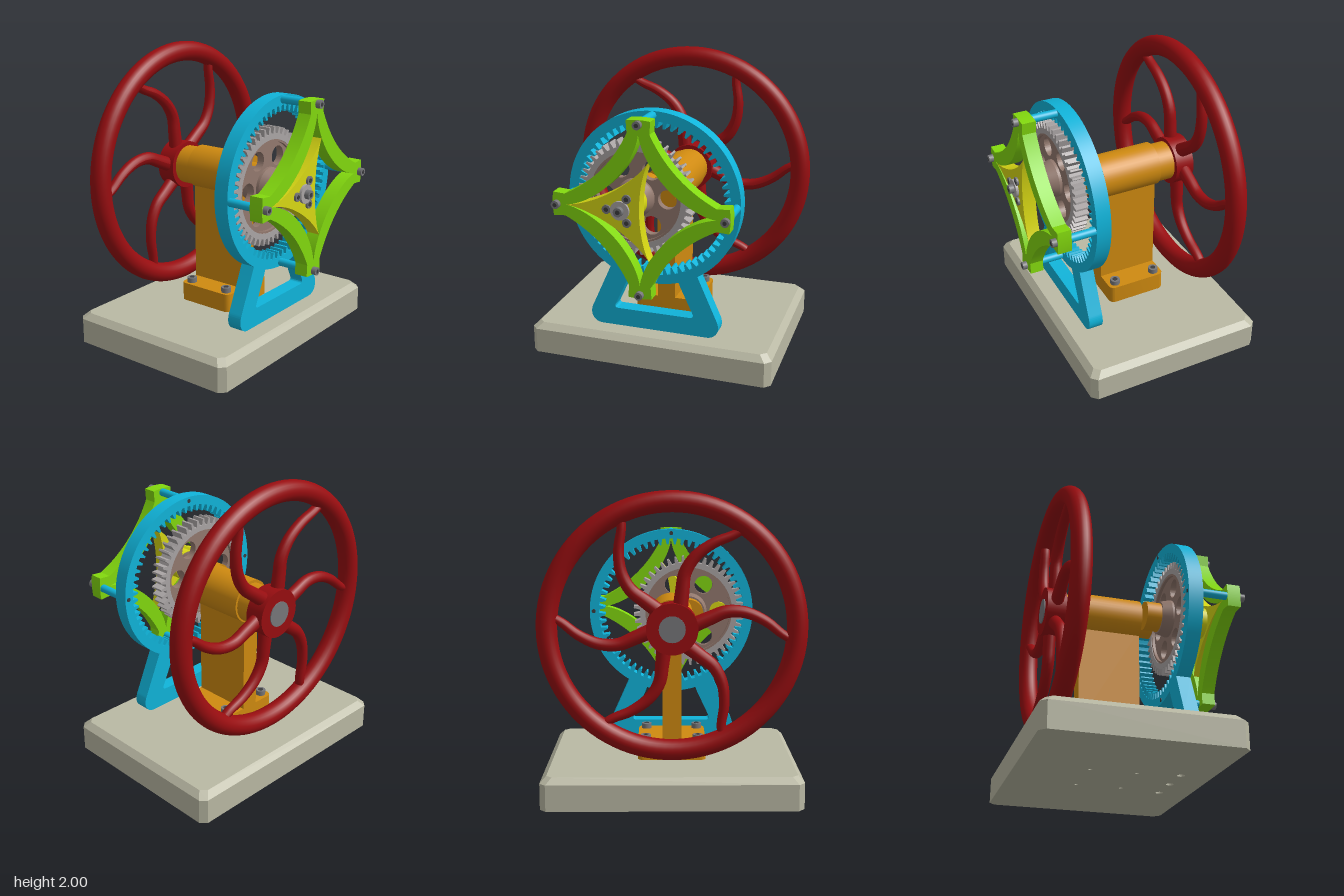
import * as THREE from 'three';
import { toCreasedNormals } from 'three/addons/utils/BufferGeometryUtils.js';

const mat = (name, color) => new THREE.MeshStandardMaterial({ name, color });
const CY = 1.14;      // height of the shaft axis
const ECC = 0.125;    // crank offset
const TAU = Math.PI * 2;

export function createModel() {
  const M = {
    stone: mat('base beige', 0xbab9a4), orange: mat('pedestal orange', 0xcf8a10),
    cyan: mat('ring cyan', 0x10b4da), green: mat('frame green', 0x82d80e),
    yellow: mat('rotor yellow', 0xd8d814), red: mat('flywheel red', 0x980d10),
    gray: mat('tooth gray', 0xaaa5a5), brown: mat('gear brown', 0x93796e),
    steel: mat('bolt steel', 0x77777a), dark: mat('socket dark', 0x3c3c3e),
  };
  const model = new THREE.Group();
  model.name = 'hypocycloidCrankModel';

  const add = (name, geo, material, parent = model) => {
    const mesh = new THREE.Mesh(geo, material);
    mesh.name = name;
    parent.add(mesh);
    return mesh;
  };
  // Cylinder along z between two depths; r1 is the radius at the front end
  const rod = (name, x, y, z0, z1, r, material, r1 = r, parent = model) => {
    const geo = new THREE.CylinderGeometry(r1, r, z1 - z0, 40).rotateX(Math.PI / 2);
    const m = add(name, geo, material, parent);
    m.position.set(x, y, (z0 + z1) / 2);
    return m;
  };
  const extrude = (shape, z0, z1, curveSegments = 32) => toCreasedNormals(
    new THREE.ExtrudeGeometry(shape, { depth: z1 - z0, bevelEnabled: false, curveSegments })
      .translate(0, 0, z0), 0.45);
  const circle = (x, y, r) => new THREE.Path().absarc(x, y, r, 0, TAU, true);
  const polar = (r, a, x = 0, y = 0) => new THREE.Vector2(x + r * Math.cos(a), y + r * Math.sin(a));
  // Gear outline: trapezoid teeth between radii at the foot and at the tip
  const teeth = (n, foot, tip, phase, cx, cy) => {
    const pts = [], step = TAU / n;
    for (let i = 0; i < n; i++) {
      const a = phase + i * step;
      for (const [f, r] of [[-0.29, foot], [-0.12, tip], [0.12, tip], [0.29, foot]]) {
        pts.push(polar(r, a + f * step, cx, cy));
      }
    }
    return pts;
  };
  // Socket-head bolt facing +z
  const bolt = (x, y, z0, z1, r, parent = model) => {
    rod('boltHead', x, y, z0, z1, r, M.steel, r, parent);
    rod('boltSocket', x, y, z1, z1 + 0.002, r * 0.5, M.dark, r * 0.5, parent);
  };

  // Base slab with chamfered edges and bolt holes underneath
  const bx = 0.84, bz = 0.63, c = 0.04;
  const slab = () => new THREE.Shape([[-bx + c, -bz], [bx - c, -bz], [bx, -bz + c], [bx, bz - c],
    [bx - c, bz], [-bx + c, bz], [-bx, bz - c], [-bx, -bz + c]].map(p => new THREE.Vector2(...p)));
  const baseShape = slab();
  for (const x of [-0.21, 0, 0.21]) baseShape.holes.push(circle(x, -0.42, 0.025));
  for (const x of [-0.175, 0.175]) for (const z of [-0.245, 0.06]) {
    baseShape.holes.push(circle(x, -(z + 0.08), 0.013));
  }
  const top = new THREE.ExtrudeGeometry(slab(), { depth: 0.04, bevelEnabled: false });
  const tp = top.attributes.position;
  for (let i = 0; i < tp.count; i++) {
    if (tp.getZ(i) > 0.02) tp.setXY(i, tp.getX(i) * (bx - c) / bx, tp.getY(i) * (bz - c) / bz);
  }
  top.computeVertexNormals();
  add('base', extrude(baseShape, 0, 0.172, 16).rotateX(-Math.PI / 2).translate(0, 0, -0.08), M.stone);
  add('baseTop', top.rotateX(-Math.PI / 2).translate(0, 0.172, -0.08), M.stone);

  // Pedestal: rounded flange, upright, bearing barrel
  const fl = new THREE.Shape(), fx = 0.228, fz = 0.21, fr = 0.04;
  fl.absarc(fx - fr, fz - fr, fr, 0, Math.PI / 2);
  fl.absarc(-fx + fr, fz - fr, fr, Math.PI / 2, Math.PI);
  fl.absarc(-fx + fr, -fz + fr, fr, Math.PI, Math.PI * 1.5);
  fl.absarc(fx - fr, -fz + fr, fr, Math.PI * 1.5, TAU);
  add('pedestalFlange', extrude(fl, 0.212, 0.34, 8).rotateX(-Math.PI / 2).translate(0, 0, -0.093), M.orange);
  add('pedestalUpright', new THREE.BoxGeometry(0.126, 0.72, 0.42), M.orange).position.set(0, 0.69, -0.093);
  rod('bearingBarrel', 0, CY + 0.005, -0.303, 0.117, 0.148, M.orange);
  for (const x of [-0.175, 0.175]) for (const z of [-0.245, 0.06]) {
    const g = new THREE.Group();
    g.name = 'pedestalBolt';
    bolt(0, 0, 0, 0.035, 0.034, g);
    g.rotation.x = -Math.PI / 2;
    g.position.set(x, 0.34, z);
    model.add(g);
  }

  // Crankshaft: rear collar, front journal, offset pin
  rod('rearCollar', 0, CY, -0.42, -0.303, 0.133, M.orange);
  rod('crankJournal', 0, CY, 0.117, 0.215, 0.1, M.orange);
  rod('crankPin', -ECC, CY, 0.13, 0.45, 0.1, M.orange);

  // Flywheel: rim, hub, six S-curved tapered spokes
  const wheel = new THREE.Group();
  wheel.name = 'flywheel';
  wheel.position.set(0, CY - 0.005, -0.483);
  model.add(wheel);
  add('rim', new THREE.TorusGeometry(0.797, 0.068, 24, 96), M.red, wheel);
  rod('hub', 0, 0, -0.066, 0.066, 0.165, M.red, 0.165, wheel);
  rod('shaftEnd', 0, 0, -0.073, -0.06, 0.085, M.steel, 0.085, wheel);
  const deg = Math.PI / 180;
  const path = new THREE.CatmullRomCurve3([[0.13, -12], [0.25, -20], [0.36, -22], [0.48, -17],
    [0.6, -9], [0.7, -2], [0.78, 1]].map(([r, a]) => {
    const p = polar(r, (a + 5) * deg);
    return new THREE.Vector3(p.x, p.y, 0);
  }));
  const spoke = new THREE.CylinderGeometry(1, 1, 1, 14, 24, true);
  const sp = spoke.attributes.position;
  for (let i = 0; i < sp.count; i++) {
    const t = sp.getY(i) + 0.5, p = path.getPoint(t), d = path.getTangent(t);
    const w = sp.getX(i) * (0.05 - 0.024 * t), h = sp.getZ(i) * (0.045 - 0.012 * t);
    sp.setXYZ(i, p.x + d.y * w, p.y - d.x * w, h);
  }
  spoke.computeVertexNormals();
  for (let k = 0; k < 6; k++) add('spoke', spoke, M.red, wheel).rotation.z = k * TAU / 6;

  // Ring gear and its splayed foot as one plate
  const R = 0.585, a0 = Math.atan2(-0.5, 0.304), aw = Math.atan2(-0.558, 0.175);
  const ring = new THREE.Shape();
  ring.absarc(0, CY, R, a0, Math.PI - a0);
  ring.lineTo(-0.433, 0.35);
  ring.bezierCurveTo(-0.475, 0.27, -0.43, 0.212, -0.37, 0.212);
  ring.lineTo(0.37, 0.212);
  ring.bezierCurveTo(0.43, 0.212, 0.475, 0.27, 0.433, 0.35);
  const window = new THREE.Path();
  window.moveTo(-0.25, 0.338);
  window.lineTo(0.25, 0.338);
  window.quadraticCurveTo(0.287, 0.338, 0.272, 0.37);
  window.lineTo(0.19, 0.545);
  window.absarc(0, CY, R, aw, Math.PI - aw, true);
  window.lineTo(-0.19, 0.545);
  window.lineTo(-0.272, 0.37);
  window.quadraticCurveTo(-0.287, 0.338, -0.25, 0.338);
  ring.holes.push(window, new THREE.Path(teeth(60, 0.52, 0.477, Math.PI + Math.PI / 60, 0, CY)));
  add('ringGear', extrude(ring, 0.29, 0.39, 64), M.cyan);

  // Planet gear: toothed rim, pierced web, tapered hub
  const gear = new THREE.Shape(teeth(45, 0.35, 0.395, Math.PI, -ECC, CY));
  gear.holes.push(circle(-ECC, CY, 0.312));
  add('planetTeeth', extrude(gear, 0.291, 0.389, 48), M.gray);
  const lip = new THREE.Shape().absarc(-ECC, CY, 0.314, 0, TAU);
  lip.holes.push(circle(-ECC, CY, 0.298));
  add('planetLip', extrude(lip, 0.295, 0.385, 48), M.brown);
  const web = new THREE.Shape().absarc(-ECC, CY, 0.305, 0, TAU);
  for (let k = 0; k < 6; k++) {
    const p = polar(0.215, k * TAU / 6, -ECC, CY);
    web.holes.push(circle(p.x, p.y, 0.064));
  }
  add('planetWeb', extrude(web, 0.315, 0.365), M.brown);
  rod('planetHubRear', -ECC, CY, 0.235, 0.3, 0.112, M.brown, 0.129);
  rod('planetHubMiddle', -ECC, CY, 0.3, 0.385, 0.129, M.brown);
  rod('planetHubFront', -ECC, CY, 0.385, 0.45, 0.129, M.brown, 0.106);

  // Three-cusped rotor with its spacer and bolts
  const deltoid = [];
  for (let i = 0; i < 90; i++) {
    const t = i * TAU / 90;
    deltoid.push(new THREE.Vector2(-ECC - 0.25 * Math.cos(t) - 0.125 * Math.cos(2 * t),
      CY - 0.25 * Math.sin(t) + 0.125 * Math.sin(2 * t)));
  }
  add('rotor', extrude(new THREE.Shape(deltoid), 0.56, 0.65), M.yellow);
  rod('rotorSpacer', -ECC, CY, 0.45, 0.56, 0.108, M.yellow);
  rod('rotorWasher', -ECC, CY, 0.65, 0.668, 0.062, M.gray);
  bolt(-ECC, CY, 0.668, 0.7, 0.03);
  for (let k = 0; k < 3; k++) {
    const p = polar(0.09, Math.PI + k * TAU / 3, -ECC, CY);
    bolt(p.x, p.y, 0.65, 0.664, 0.029);
  }

  // Four-armed frame around an astroid opening
  const frame = new THREE.Shape(), half = 0.135;
  for (let k = 0; k < 4; k++) {
    const a = k * Math.PI / 2;
    const at = (x, y) => [x * Math.cos(a) - y * Math.sin(a), CY + x * Math.sin(a) + y * Math.cos(a)];
    frame.absarc(0, CY, R, a - half, a + half);
    frame.lineTo(...at(0.5, 0.073));
    frame.quadraticCurveTo(...at(0.2125, 0.2125), ...at(0.073, 0.5));
  }
  const astroid = [];
  for (let i = 0; i < 96; i++) {
    const t = -i * TAU / 96;
    astroid.push(new THREE.Vector2(0.5 * Math.cos(t) ** 3, CY + 0.5 * Math.sin(t) ** 3));
  }
  frame.holes.push(new THREE.Path(astroid));
  add('frame', extrude(frame, 0.56, 0.652, 24), M.green);

  // Standoffs and bolts joining frame and ring
  for (let k = 0; k < 4; k++) {
    const p = polar(0.557, k * Math.PI / 2, 0, CY);
    rod('standoff', p.x, p.y, 0.38, 0.562, 0.027, M.cyan);
    bolt(p.x, p.y, 0.652, 0.685, 0.027);
    rod('ringBoltEnd', p.x, p.y, 0.287, 0.295, 0.014, M.dark);
  }
  return model;
}
